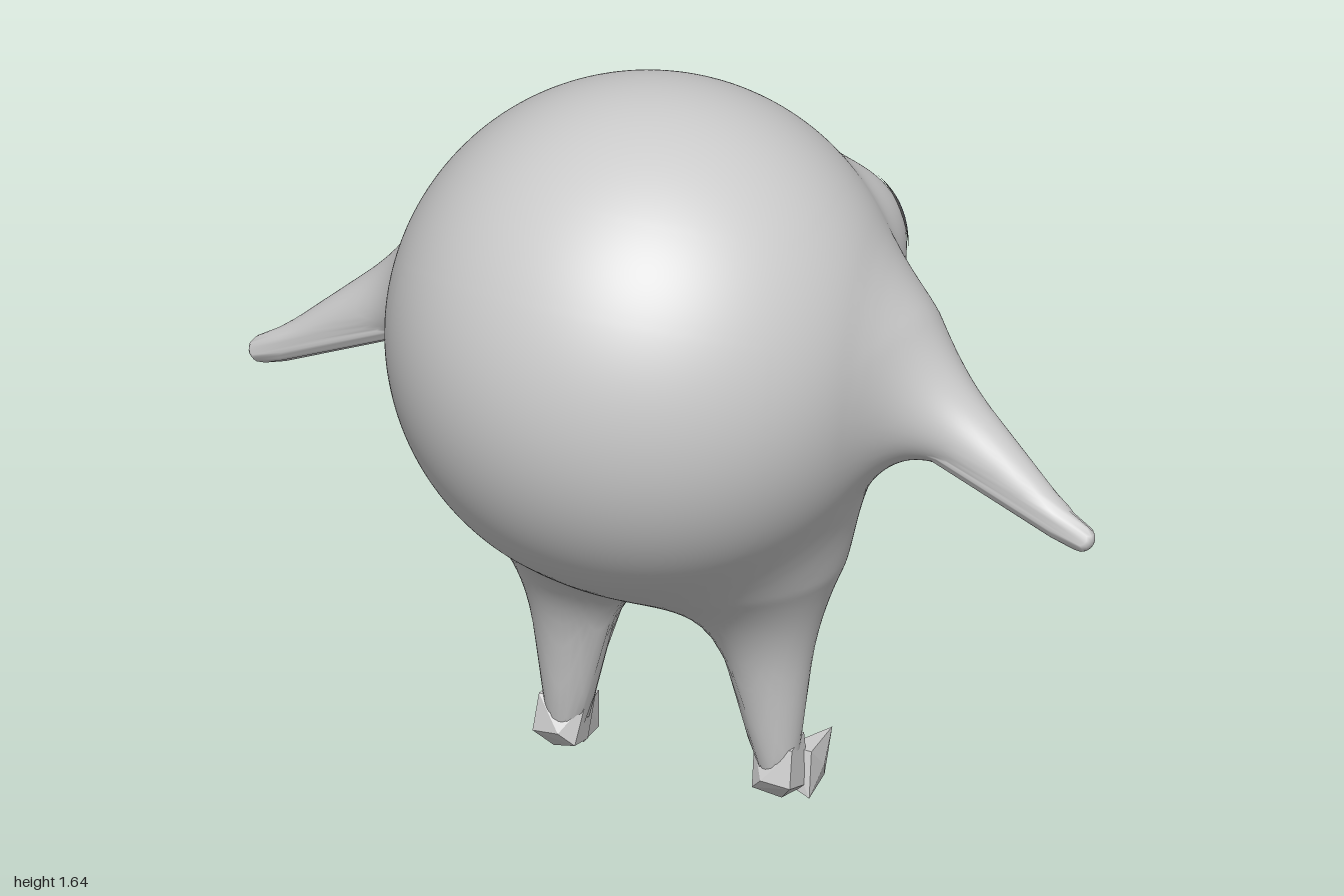
import * as THREE from 'three';
import { mergeVertices } from 'three/addons/utils/BufferGeometryUtils.js';
import { ConvexGeometry } from 'three/addons/geometries/ConvexGeometry.js';

const V = (x, y, z) => new THREE.Vector3(x, y, z);
const grey = new THREE.MeshStandardMaterial({ color: 0xcccccc });
const CORE = V(0, 1.2, -0.05); // every skin point is seen from here

// distance to a tapered limb running from a to b
function limb(x, y, z, a, b, ra, rb) {
  const dx = b[0] - a[0], dy = b[1] - a[1], dz = b[2] - a[2];
  const px = x - a[0], py = y - a[1], pz = z - a[2];
  const d = (px * dx + py * dy + pz * dz) / (dx * dx + dy * dy + dz * dz);
  const h = Math.min(1, Math.max(0, d));
  return Math.hypot(px - dx * h, py - dy * h, pz - dz * h) - ra - (rb - ra) * h;
}

// soft union of two distances
function blend(a, b, k) {
  const h = Math.max(k - Math.abs(a - b), 0);
  return Math.min(a, b) - (h * h) / (4 * k);
}

const leg = (x, y, z) => limb(x, y, z, [0.22, 0.55, -0.11], [0.247, 0.085, -0.11], 0.13, 0.047);

// whole skin: ball, legs, arms, hands, eye bulges and chin
function skin(x, y, z) {
  const m = Math.abs(x);
  let d = Math.hypot(x, y - 1.083, z) - 0.556;
  d = blend(d, blend(leg(x, y, z), leg(-x, y, z), 0.25), 0.3);
  let arm = limb(m, y, z, [0.5, 1.06, -0.15], [0.9, 0.808, -0.115], 0.11, 0.037);
  arm = blend(arm, limb(m, y, z, [0.9, 0.8, -0.115], [0.97, 0.775, -0.11], 0.028, 0.03), 0.03);
  d = blend(d, arm, 0.2);
  d = blend(d, Math.hypot(m - 0.235, y - 1.195, z + 0.385) - 0.157, 0.07);
  return blend(d, limb(m, y, z, [0, 0.87, -0.35], [0.1, 0.88, -0.335], 0.18, 0.17), 0.1);
}

// moves a point along its ray from the core until it lies on the skin
function toSkin(p, lift = 0) {
  const dir = p.clone().sub(CORE).normalize();
  let t = 1.6;
  for (let i = 0; i < 120; i++) {
    const d = skin(CORE.x + dir.x * t, CORE.y + dir.y * t, CORE.z + dir.z * t);
    if (d < 0.0002) break;
    t -= d * 0.9;
  }
  return p.copy(CORE).addScaledVector(dir, t + lift);
}

// gathers sphere vertices around the limb directions for finer limbs
const AXES = [];
for (const s of [1, -1]) {
  AXES.push({ a: V(s * 0.96, -0.425, -0.06).normalize(), reach: 0.6, pinch: 0.3 });
  AXES.push({ a: V(s * 0.247, -1.13, -0.06).normalize(), reach: 0.21, pinch: 0.4 });
}
function gather(d) {
  for (const { a, reach, pinch } of AXES) {
    const angle = d.angleTo(a);
    if (angle >= reach || angle < 1e-6) continue;
    const u = angle / reach;
    const scale = pinch + (1 - pinch) * u * u * (3 - 2 * u);
    const turn = V(0, 0, 0).crossVectors(a, d).normalize();
    d.copy(a).applyAxisAngle(turn, angle * scale);
  }
  return d;
}

function mapVertices(geo, rule) {
  const pos = geo.attributes.position;
  const p = V(0, 0, 0);
  for (let i = 0; i < pos.count; i++) {
    rule(p.fromBufferAttribute(pos, i));
    pos.setXYZ(i, p.x, p.y, p.z);
  }
  geo.computeVertexNormals();
  return geo;
}

function add(parent, name, geo, material) {
  const mesh = new THREE.Mesh(geo, material);
  mesh.name = name;
  parent.add(mesh);
  return mesh;
}

export function createModel() {
  const model = new THREE.Group();
  model.name = 'roundCreature';

  // body with arms and legs in one smooth skin
  const ball = new THREE.IcosahedronGeometry(1, 56);
  ball.deleteAttribute('uv');
  ball.deleteAttribute('normal');
  add(model, 'body', mapVertices(mergeVertices(ball, 1e-5), (p) => toSkin(gather(p.normalize()).add(CORE))), grey);

  // eyes: coloured rings laid on the bulges
  const rings = [
    ['eyeRim', 0.09, 0.122, 0x5c5c5c],
    ['eyeOuterIris', 0.066, 0.09, 0x34347c],
    ['eyeInnerIris', 0.04, 0.066, 0x56207e],
    ['eyePupilRing', 0.02, 0.04, 0x4aa078],
    ['eyePupil', 0, 0.02, 0xc8402c],
  ];
  for (const s of [1, -1]) {
    const eye = new THREE.Group();
    eye.name = s > 0 ? 'leftEye' : 'rightEye';
    const frame = new THREE.Object3D();
    frame.position.set(s * 0.315, 1.2, -0.505);
    frame.lookAt(s * 0.825, 1.22, -1.365);
    frame.updateMatrix();
    for (const [name, inner, outer, color] of rings) {
      const geo = new THREE.RingGeometry(inner, outer, 40, 4).applyMatrix4(frame.matrix);
      add(eye, name, mapVertices(geo, (p) => toSkin(p, 0.004)), new THREE.MeshStandardMaterial({ color }));
    }
    model.add(eye);
  }

  // mouth: a jagged smile laid on the chin
  const smile = new THREE.PlaneGeometry(0.28, 0.026, 28, 2).rotateY(Math.PI);
  mapVertices(smile, (p) => {
    const step = Math.round((p.x + 0.14) * 100);
    p.y += 0.825 + 2.6 * p.x * p.x + (step % 2 ? 0.006 : -0.006);
    p.z = -0.5;
    toSkin(p, 0.004);
  });
  add(model, 'mouth', smile, new THREE.MeshStandardMaterial({ color: 0x666666 }));

  // feet: faceted heel with two pointed toes
  const footGrey = new THREE.MeshStandardMaterial({ color: 0xcccccc, flatShading: true });
  const hulls = {
    heel: [[0.21, 0.03, -0.07], [0.27, 0.01, -0.09], [0.305, 0.05, -0.06], [0.3, 0.13, -0.08], [0.2, 0.12, -0.1],
      [0.24, 0.06, -0.05], [0.22, 0.01, -0.15], [0.3, 0.02, -0.16], [0.29, 0.14, -0.155], [0.21, 0.12, -0.17]],
    innerToe: [[0.21, 0.1, -0.14], [0.255, 0.12, -0.15], [0.22, 0.01, -0.13], [0.26, 0.02, -0.14],
      [0.23, 0.005, -0.22], [0.25, 0.05, -0.25], [0.235, 0.085, -0.23]],
    outerToe: [[0.26, 0.11, -0.14], [0.31, 0.1, -0.15], [0.27, 0.02, -0.13], [0.315, 0, -0.13],
      [0.3, 0.01, -0.23], [0.29, 0.095, -0.285], [0.275, 0.06, -0.25], [0.315, 0.05, -0.2]],
  };
  for (const s of [1, -1]) {
    const foot = new THREE.Group();
    foot.name = s > 0 ? 'leftFoot' : 'rightFoot';
    for (const [name, pts] of Object.entries(hulls)) {
      add(foot, name, new ConvexGeometry(pts.map(([x, y, z]) => V(s * x, y, z))), footGrey);
    }
    model.add(foot);
  }
  return model;
}
